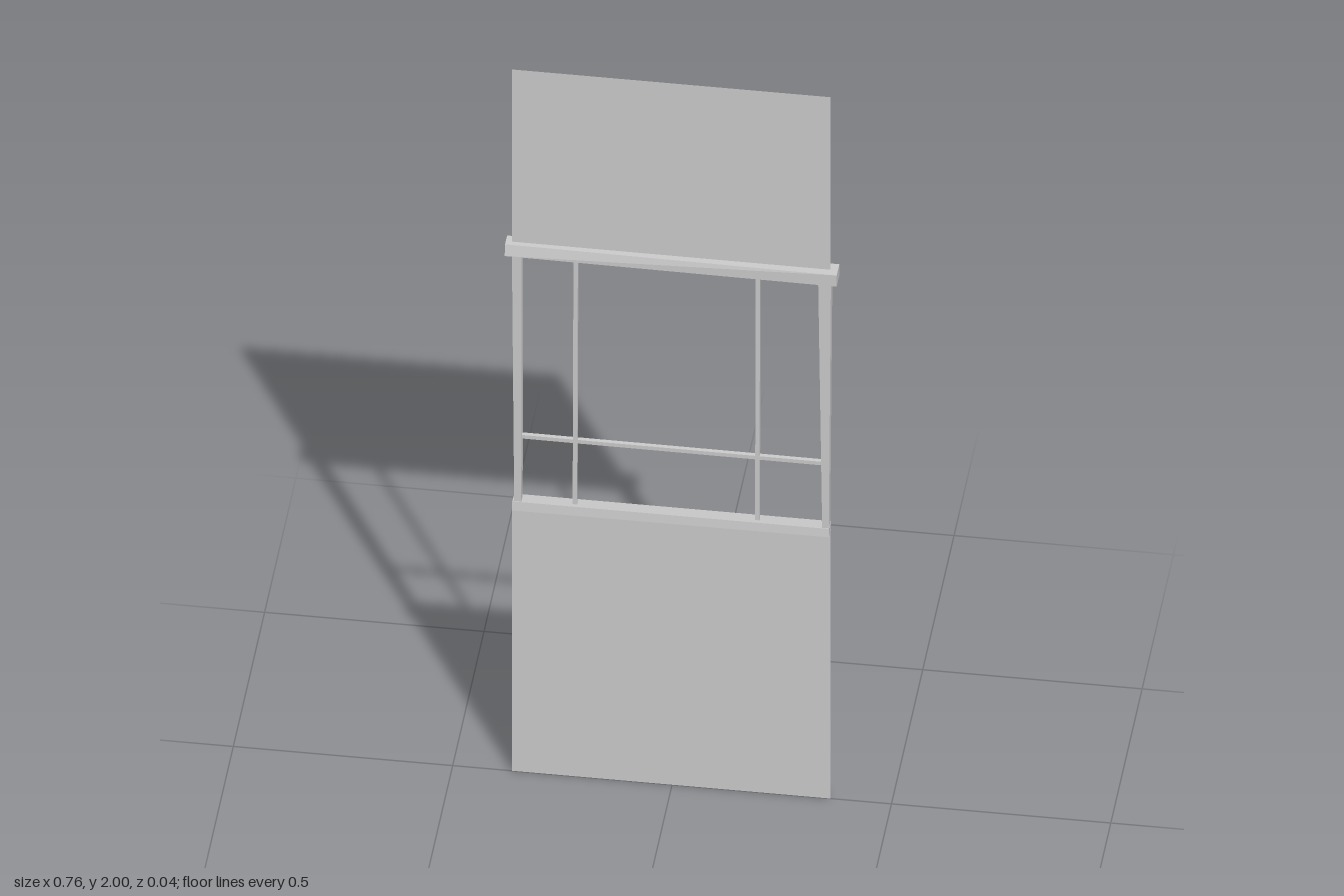
import * as THREE from 'three';

const material = new THREE.MeshStandardMaterial({ color: 0xcccccc, flatShading: true });
const wallMaterial = new THREE.MeshStandardMaterial({ color: 0xcccccc, side: THREE.DoubleSide });

// Hand-hewn timber: a box whose eight corners are moved to two rectangular ends.
// Each end is [x0, x1, y0, y1, z0, z1]; for a post the ends are bottom and top, for a rail left and right.
function timber(name, axis, a, b) {
  const geometry = new THREE.BoxGeometry(1, 1, 1);
  const p = geometry.attributes.position;
  for (let i = 0; i < p.count; i++) {
    const v = [p.getX(i), p.getY(i), p.getZ(i)];
    const end = v[axis] < 0 ? a : b;
    p.setXYZ(i, ...v.map((c, k) => end[k * 2 + (c > 0 ? 1 : 0)]));
  }
  geometry.computeVertexNormals();
  const mesh = new THREE.Mesh(geometry, material);
  mesh.name = name;
  return mesh;
}

function rail(name, x0, x1, left, right) {
  return timber(name, 0, [x0, x0, ...left], [x1, x1, ...right]);
}

function post(name, y0, y1, bottom, top) {
  const section = ([xa, xb, za, zb], y) => [xa, xb, y, y, za, zb];
  return timber(name, 1, section(bottom, y0), section(top, y1));
}

function wall(name, y0, y1) {
  const mesh = new THREE.Mesh(new THREE.PlaneGeometry(0.726, y1 - y0), wallMaterial);
  mesh.position.set(-0.002, (y0 + y1) / 2, 0);
  mesh.name = name;
  return mesh;
}

export function createModel() {
  const model = new THREE.Group();
  model.name = 'windowWall';

  // Thin wall sheets below and above the opening
  model.add(wall('lowerWall', 0, 0.768), wall('upperWall', 1.49, 2));

  // Lintel, with its upper front edge cut back towards the right end
  const lintel = rail('lintel', -0.379, 0.378,
    [1.48, 1.509, -0.021, 0.018], [1.476, 1.508, -0.023, 0.019]);
  const p = lintel.geometry.attributes.position;
  for (let i = 0; i < p.count; i++) {
    if (p.getX(i) < 0 && p.getY(i) > 1.5 && p.getZ(i) > 0) p.setZ(i, 0.012);
  }
  lintel.geometry.computeVertexNormals();
  model.add(lintel);

  // Sill, rolled slightly
  const sill = rail('sill', -0.362, 0.36,
    [-0.013, 0.011, -0.017, 0.017], [-0.011, 0.011, -0.017, 0.017]);
  sill.position.y = 0.768;
  sill.rotation.x = -0.1;
  model.add(sill);

  // Uneven side posts
  model.add(
    post('rightPost', 0.775, 1.482, [-0.358, -0.342, -0.011, 0.013], [-0.363, -0.341, -0.012, 0.014]),
    post('leftPost', 0.775, 1.482, [0.344, 0.359, -0.011, 0.013], [0.335, 0.364, -0.012, 0.014]),
  );

  // Slim glazing bars
  for (const [name, x0, x1] of [['rightMullion', -0.221, -0.219], ['leftMullion', 0.195, 0.196]]) {
    const bar = x => [x - 0.005, x + 0.005, -0.005, 0.005];
    model.add(post(name, 0.775, 1.482, bar(x0), bar(x1)));
  }
  model.add(rail('crossBar', -0.345, 0.343,
    [0.954, 0.964, -0.005, 0.005], [0.952, 0.962, -0.005, 0.005]));

  return model;
}
